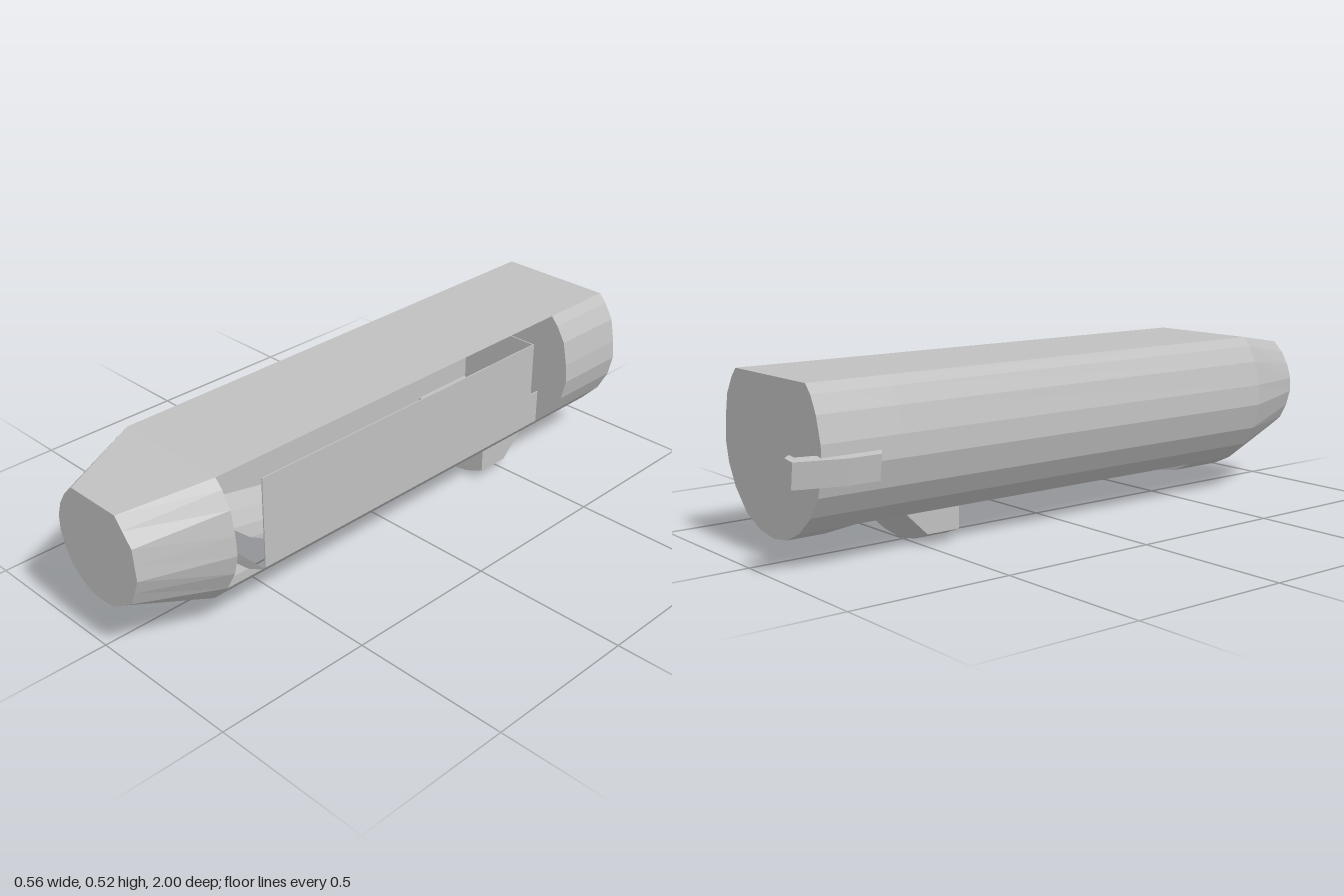
import * as THREE from 'three';

const steel = new THREE.MeshStandardMaterial({ color: 0xc0c0c0, side: THREE.DoubleSide, flatShading: true });
steel.name = 'steel';

// Flat-topped round cross-section, counter-clockwise from the top left
const RING = [[-0.18, 0.517], [-0.205, 0.49], [-0.23, 0.44], [-0.25, 0.365], [-0.253, 0.3], [-0.23, 0.22],
  [-0.19, 0.16], [-0.125, 0.105], [-0.06, 0.075], [0.01, 0.065], [0.085, 0.075], [0.163, 0.11],
  [0.225, 0.175], [0.26, 0.24], [0.275, 0.305], [0.27, 0.365], [0.255, 0.44], [0.225, 0.49], [0.2, 0.517]];
// Smaller section at the tip of the nose
const TIP = [[-0.083, 0.475], [-0.12, 0.44], [-0.145, 0.4], [-0.16, 0.355], [-0.16, 0.31], [-0.145, 0.26],
  [-0.12, 0.215], [-0.083, 0.185], [-0.04, 0.163], [0.012, 0.157], [0.06, 0.163], [0.1, 0.187],
  [0.145, 0.215], [0.165, 0.26], [0.182, 0.305], [0.176, 0.35], [0.17, 0.4], [0.135, 0.44], [0.107, 0.475]];
// Curved underside shared by the foot and the belly
const UNDER = [[-0.125, 0.037], [-0.06, 0.012], [0.015, 0], [0.1, 0.012], [0.163, 0.037]];

// Joins sections given from back to front as [z, points]
function loft(name, sections, { closed = true, backCap = false, frontCap = false } = {}) {
  const pos = [];
  const put = (s, i) => pos.push(s[1][i][0], s[1][i][1], s[0]);
  const n = sections[0][1].length;
  for (let k = 0; k + 1 < sections.length; k++) {
    const a = sections[k], b = sections[k + 1];
    for (let i = 0; i < (closed ? n : n - 1); i++) {
      const j = (i + 1) % n;
      put(a, i); put(a, j); put(b, j);
      put(a, i); put(b, j); put(b, i);
    }
  }
  const first = sections[0], last = sections[sections.length - 1];
  for (let i = 1; i + 1 < n; i++) {
    if (backCap) { put(first, 0); put(first, i + 1); put(first, i); }
    if (frontCap) { put(last, 0); put(last, i); put(last, i + 1); }
  }
  const geo = new THREE.BufferGeometry();
  geo.setAttribute('position', new THREE.Float32BufferAttribute(pos, 3));
  geo.computeVertexNormals();
  const mesh = new THREE.Mesh(geo, steel);
  mesh.name = name;
  return mesh;
}

// Box given by its extents
function box(name, x0, x1, y0, y1, z0, z1) {
  const mesh = new THREE.Mesh(new THREE.BoxGeometry(x1 - x0, y1 - y0, z1 - z0), steel);
  mesh.position.set((x0 + x1) / 2, (y0 + y1) / 2, (z0 + z1) / 2);
  mesh.name = name;
  return mesh;
}

const lift = (pts, dy) => pts.map(([x, y]) => [x, y + dy]);

export function createModel() {
  const model = new THREE.Group();
  model.name = 'slide';
  const caps = { backCap: true, frontCap: true };

  // Tapered nose and full-round tail, with the tail's underside relieved at the front
  model.add(loft('nose', [[0.74, RING], [1, TIP]], caps));
  const relieved = RING.map(([x, y]) => [x, Math.max(y, 0.09)]);
  model.add(loft('tail', [[-0.915, RING], [-0.8, RING], [-0.66, relieved]], caps));

  // Thin shell over the top and right flank, lower rail, and collar under the nose
  model.add(loft('shell', [[-0.66, [RING[18], ...RING.slice(0, 8)]], [0.74, [RING[18], ...RING.slice(0, 8)]]], { closed: false }));
  model.add(loft('lowerRail', [[-0.66, RING.slice(11, 13)], [0.74, RING.slice(11, 13)]], { closed: false }));
  model.add(loft('collar', [[0.55, RING.slice(7, 12)], [0.74, RING.slice(7, 12)]], { closed: false, backCap: true }));

  // Open-topped inner tub seen through the side opening
  const tub = new THREE.Group();
  tub.name = 'innerTub';
  tub.add(box('outerWall', 0.159, 0.163, 0.11, 0.415, -0.625, 0.55));
  tub.add(box('outerWallTail', 0.159, 0.163, 0.11, 0.23, -0.66, -0.625));
  tub.add(box('innerWall', -0.125, -0.121, 0.105, 0.415, -0.625, 0.55));
  tub.add(box('rearWall', -0.121, 0.159, 0.11, 0.415, -0.625, -0.621));
  model.add(tub);

  // Rounded belly rising toward the front
  model.add(loft('belly', [[-0.625, lift(UNDER, 0.087)], [0.09, lift(UNDER, 0.087)], [0.55, lift(UNDER, 0.18)]],
    { closed: false }));

  // Foot block with a sloping rear
  const foot = (dy) => [[-0.125, 0.2], ...lift(UNDER, dy), [0.163, 0.2]];
  model.add(loft('foot', [[-0.615, foot(0.11)], [-0.5, foot(0)], [-0.39, foot(0)]], caps));

  // Bent lever on the right rear flank, leaning slightly
  const outline = [[-0.25, -0.73], [-0.28, -0.75], [-0.28, -0.85], [-0.25, -1], [-0.21, -1],
    [-0.19, -0.975], [-0.215, -0.975], [-0.225, -0.915], [-0.245, -0.85]];
  const shape = new THREE.Shape(outline.map(([x, z]) => new THREE.Vector2(x + 0.26, -z)));
  const leverGeo = new THREE.ExtrudeGeometry(shape, { depth: 0.075, bevelEnabled: false });
  leverGeo.translate(0, 0, -0.0375).rotateX(-Math.PI / 2);
  const lever = new THREE.Mesh(leverGeo, steel);
  lever.name = 'lever';
  lever.position.set(-0.257, 0.292, 0);
  lever.rotation.z = 0.13;
  model.add(lever);

  return model;
}
